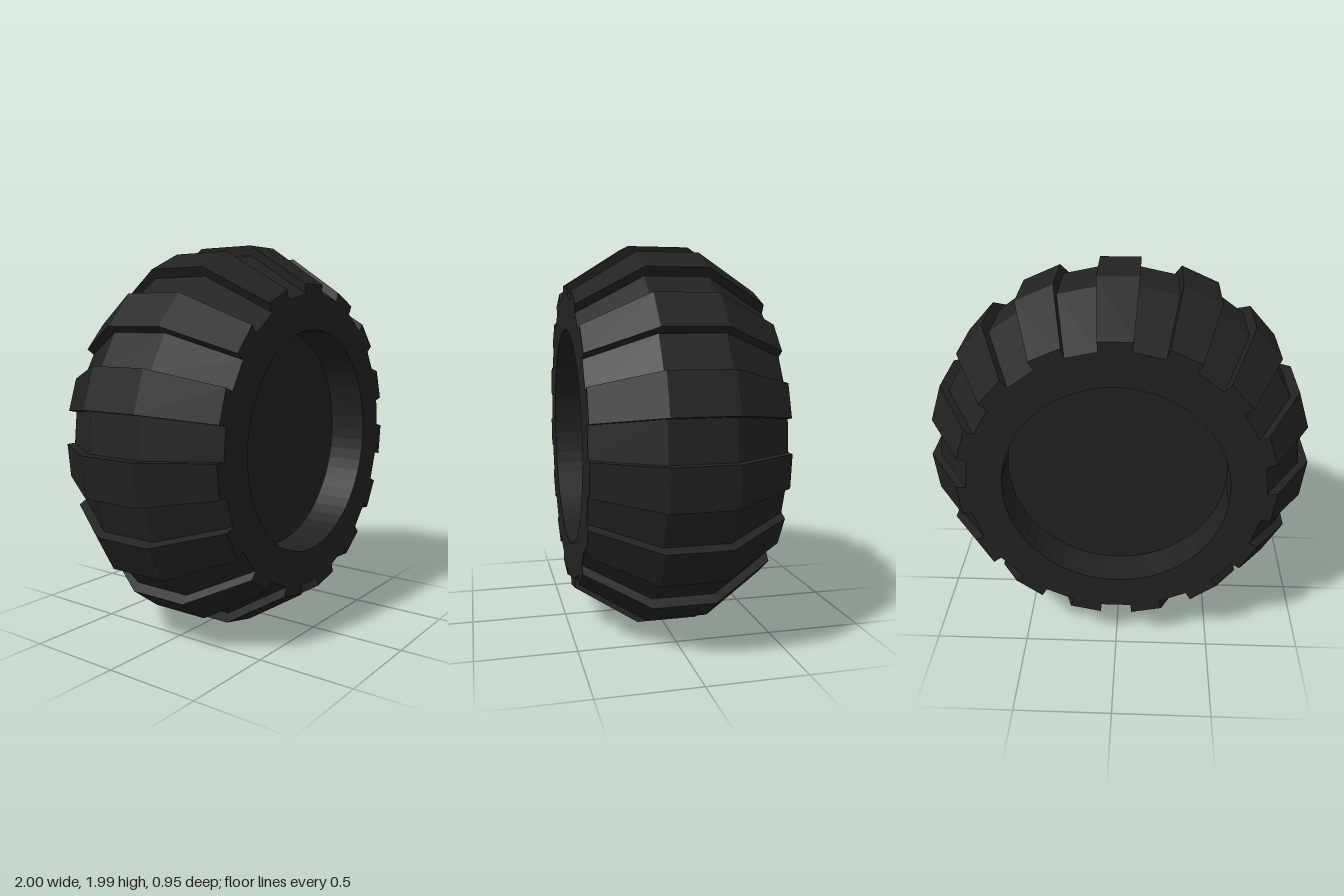
import * as THREE from 'three';

const LUGS = 15;          // raised treads, alternating with equal grooves
const HALF_WIDTH = 0.475;
const SHOULDER = 0.2;     // how far the tread swells from sidewall to crown
const LUG_R = 0.8;        // radii at the sidewall
const GROOVE_R = 0.75;
const RIM_R = 0.57;

// Toothed outline of the sidewall: flat lug, flat groove, radial steps between
function sidewallShape() {
  const points = [];
  const step = Math.PI / LUGS;
  for (let i = 0; i < LUGS * 2; i++) {
    const r = i % 2 === 0 ? LUG_R : GROOVE_R;
    const start = Math.PI / 2 + (i - 0.5) * step;
    for (const a of [start, start + step]) {
      points.push(new THREE.Vector2(r * Math.cos(a), r * Math.sin(a)));
    }
  }
  const shape = new THREE.Shape(points);
  shape.holes.push(new THREE.Path().absarc(0, 0, RIM_R, 0, Math.PI * 2, true));
  return shape;
}

export function createModel() {
  const group = new THREE.Group();
  group.name = 'tire';
  const material = new THREE.MeshStandardMaterial({ color: 0x222222 });

  // Tire: extruded in three bands, the middle band pushed out to form the crown
  const tireGeometry = new THREE.ExtrudeGeometry(sidewallShape(), {
    depth: HALF_WIDTH * 2, steps: 3, bevelEnabled: false, curveSegments: 30,
  });
  tireGeometry.translate(0, 0, -HALF_WIDTH);
  const pos = tireGeometry.attributes.position;
  for (let i = 0; i < pos.count; i++) {
    const x = pos.getX(i), y = pos.getY(i);
    const r = Math.hypot(x, y);
    if (Math.abs(pos.getZ(i)) < 0.3 && r > 0.65) {
      const k = (r + SHOULDER) / r;
      pos.setXY(i, x * k, y * k);
    }
  }
  tireGeometry.computeVertexNormals();
  const tread = new THREE.Mesh(tireGeometry, material);
  tread.name = 'tread';

  // Hub disc, recessed on both sides
  const hubGeometry = new THREE.CylinderGeometry(RIM_R, RIM_R, 0.55, 60);
  hubGeometry.rotateX(Math.PI / 2);
  const hub = new THREE.Mesh(hubGeometry, material);
  hub.name = 'hub';

  group.add(tread, hub);
  // Rest the lowest lug corners on the ground
  for (const part of group.children) part.position.y = Math.cos(Math.PI / (LUGS * 2));
  return group;
}
